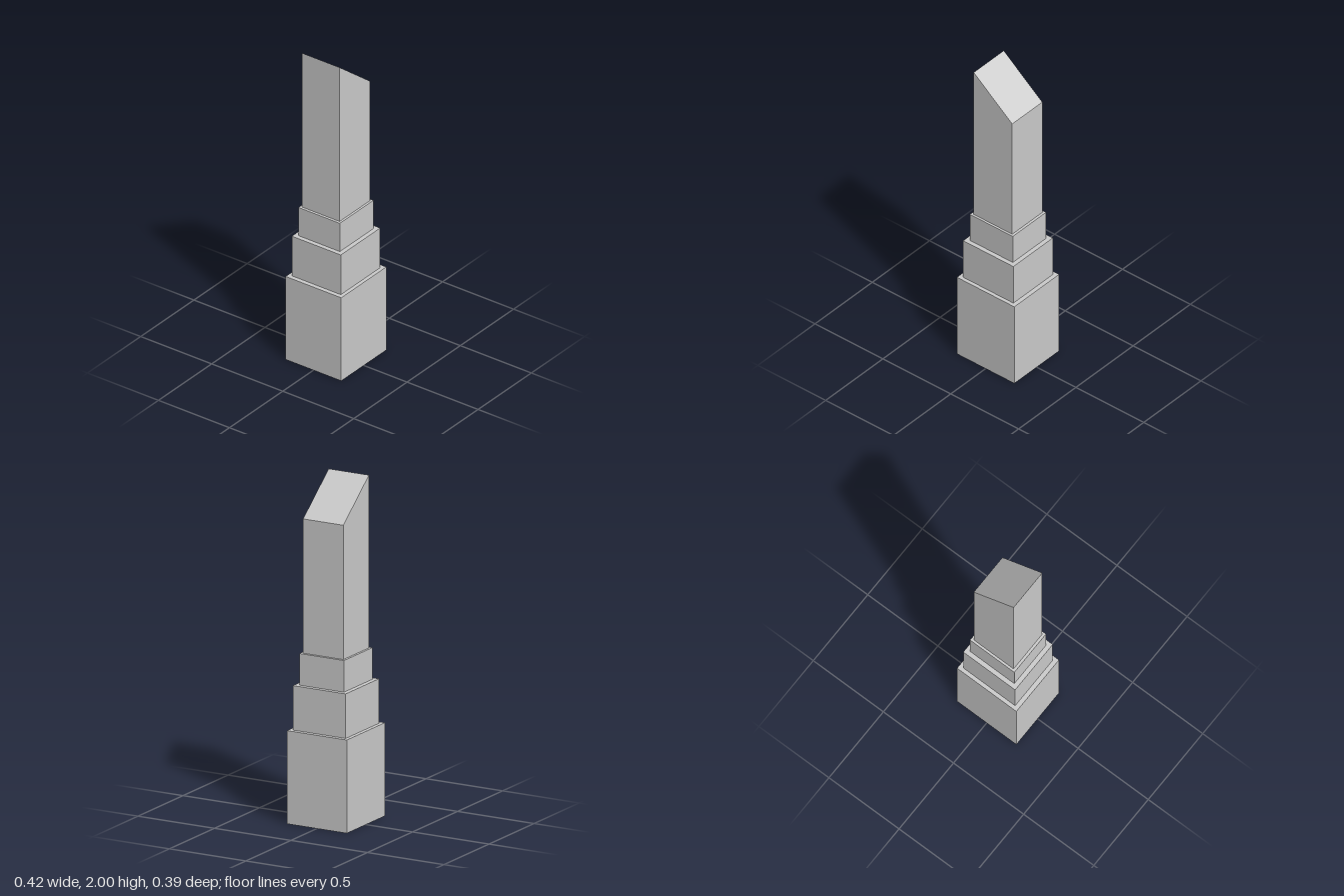
import * as THREE from 'three';

const material = new THREE.MeshStandardMaterial({
  color: 0xcccccc, flatShading: true, side: THREE.DoubleSide,
});

// Rectangular ring of four corners, counter-clockwise seen from above.
// The right (-x) side may stand higher than the left (+x) side.
const ring = (hx, hz, y, yLeft = y) => [
  [-hx, y, hz], [hx, yLeft, hz], [hx, yLeft, -hz], [-hx, y, -hz],
];

// Skins a stack of rings with flat quads; the ends stay open unless capped.
function shell(name, rings, capped = false) {
  const positions = [];
  const quad = (a, b, c, d) => positions.push(...a, ...b, ...c, ...a, ...c, ...d);
  for (let r = 0; r < rings.length - 1; r++) {
    const low = rings[r], high = rings[r + 1];
    for (let i = 0; i < 4; i++) {
      const j = (i + 1) % 4;
      quad(low[i], low[j], high[j], high[i]);
    }
  }
  if (capped) quad(...rings[rings.length - 1]);
  const geometry = new THREE.BufferGeometry();
  geometry.setAttribute('position', new THREE.Float32BufferAttribute(positions, 3));
  geometry.computeVertexNormals();
  const mesh = new THREE.Mesh(geometry, material);
  mesh.name = name;
  return mesh;
}

export function createModel() {
  const group = new THREE.Group();
  group.name = 'steppedTower';

  // Half width, half depth, bottom and top of each tier
  const tiers = [
    { name: 'baseTier', hx: 0.2115, hz: 0.1955, y0: 0, y1: 0.545 },
    { name: 'middleTier', hx: 0.185, hz: 0.1725, y0: 0.545, y1: 0.805 },
    { name: 'upperTier', hx: 0.158, hz: 0.1455, y0: 0.805, y1: 0.99 },
  ];
  const shaft = { hx: 0.142, hz: 0.1315, y0: 0.99 };

  // Hollow tiers, each closed by a ledge reaching in to the next one
  tiers.forEach((t, i) => {
    const next = tiers[i + 1] ?? shaft;
    group.add(shell(t.name, [
      ring(t.hx, t.hz, t.y0), ring(t.hx, t.hz, t.y1), ring(next.hx, next.hz, t.y1),
    ]));
  });

  // Tall shaft with a slanted top
  group.add(shell('slantedShaft', [
    ring(shaft.hx, shaft.hz, shaft.y0), ring(shaft.hx, shaft.hz, 2, 1.775),
  ], true));

  return group;
}
